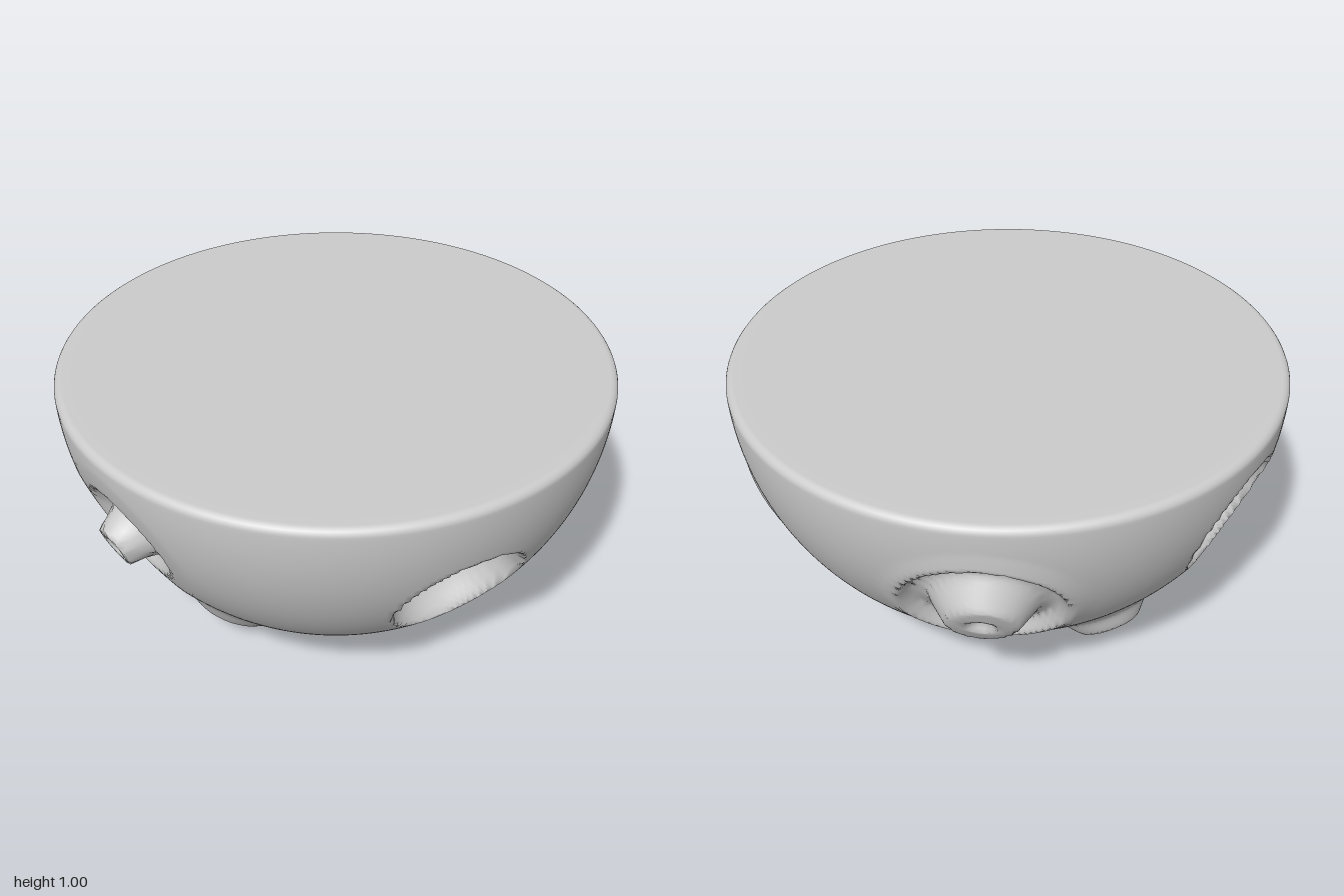
import * as THREE from 'three';
import { mergeVertices } from 'three/addons/utils/BufferGeometryUtils.js';

// Relief profiles as [distance from the feature's axis, height above the bowl]
const deepSocket = [[0, -0.17], [0.03, -0.17], [0.05, -0.14], [0.08, -0.145], [0.11, -0.2], [0.15, -0.19], [0.21, -0.09], [0.245, 0], [0.3, 0]];
const ringedSocket = [[0, -0.1], [0.04, -0.1], [0.06, -0.075], [0.1, -0.08], [0.13, -0.115], [0.18, -0.1], [0.225, 0.015], [0.27, 0.025], [0.35, 0]];
const broadStud = [[0, 0.015], [0.03, 0.02], [0.05, 0.045], [0.12, 0.045], [0.19, -0.045], [0.24, -0.05], [0.29, 0.01], [0.36, 0]];
const sunkenStud = [[0, 0.01], [0.03, 0.015], [0.045, 0.045], [0.08, 0.045], [0.11, -0.05], [0.15, -0.06], [0.2, -0.01], [0.3, 0]];
const smallNub = [[0, 0.04], [0.06, 0.045], [0.085, 0.08], [0.12, 0.075], [0.17, 0.02], [0.24, 0]];
const wideNub = [[0, 0.03], [0.07, 0.04], [0.1, 0.075], [0.14, 0.07], [0.21, 0.03], [0.3, 0]];

// Each feature points away from the middle of the flat top
const features = [
  { axis: [0.53, -0.47, 0.68], profile: deepSocket },
  { axis: [-0.9, -0.34, -0.26], profile: deepSocket },
  { axis: [0.79, -0.535, -0.31], profile: ringedSocket },
  { axis: [-0.19, -0.46, -0.89], profile: broadStud },
  { axis: [-0.61, -0.36, 0.7], profile: sunkenStud },
  { axis: [-0.48, -0.87, -0.31], profile: smallNub },
  { axis: [-0.34, -0.92, 0.38], profile: wideNub },
].map(({ axis, profile }) => ({ axis: new THREE.Vector3(...axis).normalize(), profile }));

function heightAt(profile, r) {
  for (let i = 1; i < profile.length; i++) {
    const [r0, h0] = profile[i - 1];
    const [r1, h1] = profile[i];
    if (r <= r1) return THREE.MathUtils.lerp(h0, h1, (r - r0) / (r1 - r0));
  }
  return 0;
}

function bowlGeometry() {
  // Half round section, rounded rim, flat lid
  const points = [];
  const rows = 130, bevel = 0.03;
  for (let i = 0; i <= rows; i++) {
    const a = (i / rows) * (Math.PI / 2 - bevel);
    points.push(new THREE.Vector2(Math.sin(a), 1 - Math.cos(a)));
  }
  for (let i = 1; i <= 6; i++) {
    const a = (i / 6) * Math.PI / 2;
    points.push(new THREE.Vector2(1 - bevel + bevel * Math.cos(a), 1 - bevel + bevel * Math.sin(a)));
  }
  points.push(new THREE.Vector2(0.94, 1), new THREE.Vector2(0.5, 1), new THREE.Vector2(0, 1));

  let geometry = new THREE.LatheGeometry(points, 256);
  geometry.deleteAttribute('uv');
  geometry.deleteAttribute('normal');
  geometry = mergeVertices(geometry, 1e-5);

  // Press the sockets in and pull the studs out along their axes
  const position = geometry.attributes.position;
  const p = new THREE.Vector3(), dir = new THREE.Vector3();
  for (let i = 0; i < position.count; i++) {
    p.fromBufferAttribute(position, i);
    dir.set(p.x, p.y - 1, p.z);
    if (dir.length() < 0.985) continue;
    dir.normalize();
    for (const { axis, profile } of features) {
      p.addScaledVector(axis, heightAt(profile, dir.angleTo(axis)));
    }
    position.setXYZ(i, p.x, p.y, p.z);
  }
  geometry.computeVertexNormals();
  return geometry;
}

export function createModel() {
  const group = new THREE.Group();
  group.name = 'studdedHalfSphere';
  const material = new THREE.MeshStandardMaterial({ color: 0xcccccc });
  const body = new THREE.Mesh(bowlGeometry(), material);
  body.name = 'bowlWithSocketsAndStuds';
  group.add(body);
  return group;
}
